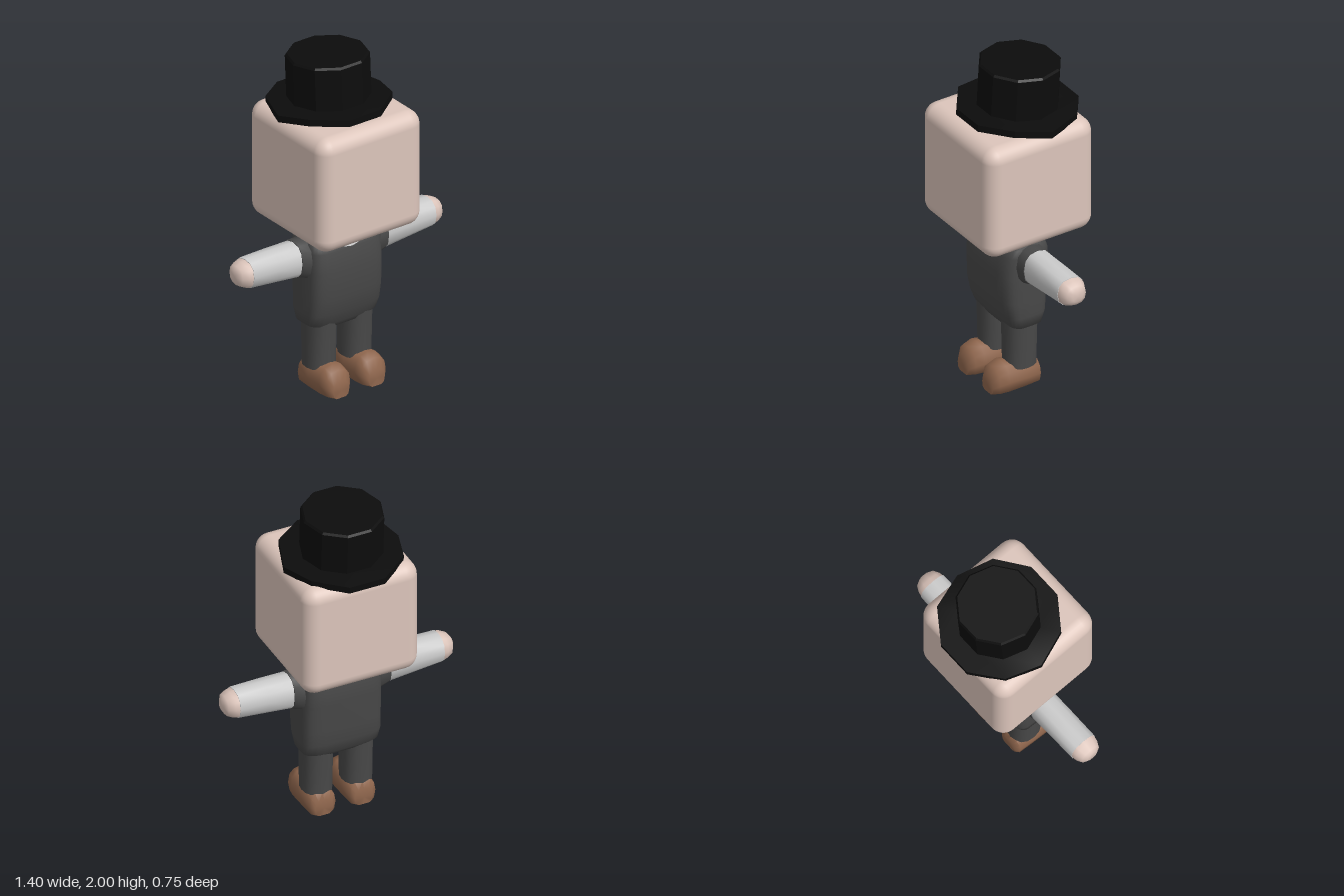
import * as THREE from 'three';
import { RoundedBoxGeometry } from 'three/addons/geometries/RoundedBoxGeometry.js';
import { toCreasedNormals } from 'three/addons/utils/BufferGeometryUtils.js';

const COLORS = { skin: 0xdcc5bb, cloth: 0x484848, shirt: 0xdcdcdc, shoe: 0x8f664d, hat: 0x0c0c0c };

function part(name, geometry, color) {
  const mesh = new THREE.Mesh(geometry, new THREE.MeshStandardMaterial({ color: COLORS[color] }));
  mesh.name = name;
  return mesh;
}

// Skin closed rounded sections [t, uMin, uMax, vMin, vMax] along an axis (0 = x, 1 = y, 2 = z);
// u and v are the next two axes in cyclic order. Points stay on or above the ground.
function loft(axis, sections, { sides = 12, power = 2.5, crease = 0.9 } = {}) {
  const pos = [], index = [];
  const push = (t, u, v) => {
    const p = [0, 0, 0];
    p[axis] = t;
    p[(axis + 1) % 3] = u;
    p[(axis + 2) % 3] = v;
    pos.push(p[0], Math.max(0, p[1]), p[2]);
  };
  const bend = (c) => Math.sign(c) * Math.pow(Math.abs(c), 2 / power);
  for (const [t, u0, u1, v0, v1] of sections) {
    for (let i = 0; i < sides; i++) {
      const a = (i / sides) * Math.PI * 2;
      push(t, (u0 + u1) / 2 + bend(Math.cos(a)) * (u1 - u0) / 2, (v0 + v1) / 2 + bend(Math.sin(a)) * (v1 - v0) / 2);
    }
  }
  const last = sections.length - 1;
  for (const s of [0, last]) {
    const [t, u0, u1, v0, v1] = sections[s];
    push(t, (u0 + u1) / 2, (v0 + v1) / 2);
  }
  const startCap = sections.length * sides, endCap = startCap + 1;
  for (let i = 0; i < sides; i++) {
    const j = (i + 1) % sides;
    for (let r = 0; r < last; r++) {
      const a = r * sides + i, b = r * sides + j;
      index.push(a, b, b + sides, a, b + sides, a + sides);
    }
    index.push(startCap, j, i, endCap, last * sides + i, last * sides + j);
  }
  const g = new THREE.BufferGeometry();
  g.setAttribute('position', new THREE.Float32BufferAttribute(pos, 3));
  g.setIndex(index);
  g.computeVertexNormals();
  return toCreasedNormals(g, crease);
}

// Ten-sided top hat, tipped slightly backwards
function makeHat() {
  const hat = new THREE.Group();
  hat.name = 'hat';
  const profile = (pts) => new THREE.LatheGeometry(pts.map(([r, y]) => new THREE.Vector2(r, y)), 10, Math.PI / 2);
  const crown = profile([[0, 0], [0.235, 0], [0.235, 0.276], [0.225, 0.288], [0, 0.288]]);
  hat.add(part('hatCrown', toCreasedNormals(crown, 0.3), 'hat'));

  const brim = profile([[0, -0.02], [0.22, -0.02], [0.35, -0.02], [0.35, 0.02], [0.22, 0.03], [0, 0.03]]);
  // the brim dips at both sides and lifts beside the front and back
  const p = brim.attributes.position;
  for (let i = 0; i < p.count; i++) {
    const x = Math.abs(p.getX(i));
    if (x > 0.32) p.setY(i, p.getY(i) - 0.014);
    else if (x > 0.26) p.setY(i, p.getY(i) + 0.012);
  }
  hat.add(part('hatBrim', toCreasedNormals(brim, 0.3), 'hat'));
  hat.position.set(0, 1.7, -0.042);
  hat.rotation.x = -0.056;
  return hat;
}

// Arm pointing along +x: vest cuff, sleeve and hand
function makeArm(name) {
  const arm = new THREE.Group();
  arm.name = name;
  arm.add(part('vestCuff', loft(0, [
    [0.16, 0.64, 0.935, -0.1, 0.1],
    [0.235, 0.7, 0.936, -0.096, 0.096],
    [0.296, 0.722, 0.935, -0.092, 0.092],
  ]), 'cloth'));
  arm.add(part('sleeve', loft(0, [
    [0.27, 0.722, 0.931, -0.088, 0.088],
    [0.45, 0.742, 0.931, -0.088, 0.088],
    [0.625, 0.76, 0.927, -0.087, 0.087],
  ]), 'shirt'));
  arm.add(part('hand', loft(0, [
    [0.615, 0.76, 0.926, -0.086, 0.086],
    [0.65, 0.768, 0.918, -0.08, 0.08],
    [0.685, 0.785, 0.902, -0.062, 0.062],
    [0.7, 0.81, 0.88, -0.034, 0.034],
  ], { crease: 1.2 }), 'skin'));
  arm.position.z = 0.022;
  return arm;
}

function makeLeg(name) {
  const leg = new THREE.Group();
  leg.name = name;
  leg.add(part('trouserLeg', loft(1, [
    [0.13, -0.068, 0.122, -0.088, 0.088],
    [0.26, -0.07, 0.124, -0.09, 0.09],
    [0.44, -0.075, 0.13, -0.092, 0.092],
  ], { sides: 16, power: 2.3 }), 'cloth'));
  leg.add(part('shoe', loft(2, [
    [-0.08, -0.055, 0.055, -0.01, 0.1],
    [-0.062, -0.078, 0.078, -0.025, 0.148],
    [0.03, -0.084, 0.084, -0.03, 0.158],
    [0.15, -0.091, 0.091, -0.03, 0.176],
    [0.205, -0.083, 0.083, -0.025, 0.158],
    [0.235, -0.055, 0.055, -0.01, 0.1],
  ], { crease: 1.1 }), 'shoe'));
  return leg;
}

export function createModel() {
  const model = new THREE.Group();

  // Block head with rounded edges
  const head = part('head', new RoundedBoxGeometry(0.706, 0.704, 0.708, 4, 0.085), 'skin');
  head.position.set(0, 1.338, 0.02);
  model.add(head, makeHat());

  // Neck and open shirt collar
  model.add(part('neck', loft(1, [
    [0.93, -0.03, 0.085, -0.085, 0.085],
    [0.96, -0.03, 0.06, -0.06, 0.06],
    [1.0, -0.025, 0.05, -0.045, 0.045],
  ], { power: 2 }), 'skin'));
  model.add(part('collar', loft(1, [
    [0.92, -0.055, 0.14, -0.13, 0.13],
    [0.936, -0.045, 0.125, -0.12, 0.12],
    [0.955, -0.035, 0.085, -0.075, 0.075],
  ], { power: 2 }), 'shirt'));

  // Shirt showing in the neck opening of the vest
  const opening = new THREE.Shape([[-0.045, 0.008], [0, 0], [0.045, 0.008], [0.12, 0.058], [0.11, 0.066], [-0.11, 0.066], [-0.12, 0.058]]
    .map(([x, y]) => new THREE.Vector2(x, y)));
  const shirtFront = part('shirtFront', new THREE.ExtrudeGeometry(opening, { depth: 0.008, bevelEnabled: false }), 'shirt');
  shirtFront.position.set(0, 0.875, 0.161);
  shirtFront.rotation.x = -0.36;
  model.add(shirtFront);

  // Vest and trouser seat
  model.add(part('torso', loft(1, [
    [0.38, -0.06, 0.11, -0.17, 0.17],
    [0.41, -0.085, 0.128, -0.23, 0.23],
    [0.48, -0.106, 0.155, -0.24, 0.24],
    [0.58, -0.114, 0.176, -0.24, 0.24],
    [0.75, -0.12, 0.18, -0.24, 0.24],
    [0.87, -0.126, 0.166, -0.24, 0.24],
    [0.92, -0.108, 0.148, -0.238, 0.238],
    [0.936, -0.085, 0.115, -0.225, 0.225],
  ], { sides: 28, power: 4.5, crease: 1.1 }), 'cloth'));

  // Limbs in mirrored pairs
  const leftArm = makeArm('leftArm'), rightArm = makeArm('rightArm');
  rightArm.rotation.y = Math.PI;
  const leftLeg = makeLeg('leftLeg'), rightLeg = makeLeg('rightLeg');
  leftLeg.position.x = 0.122;
  rightLeg.position.x = -0.122;
  model.add(leftArm, rightArm, leftLeg, rightLeg);
  return model;
}
